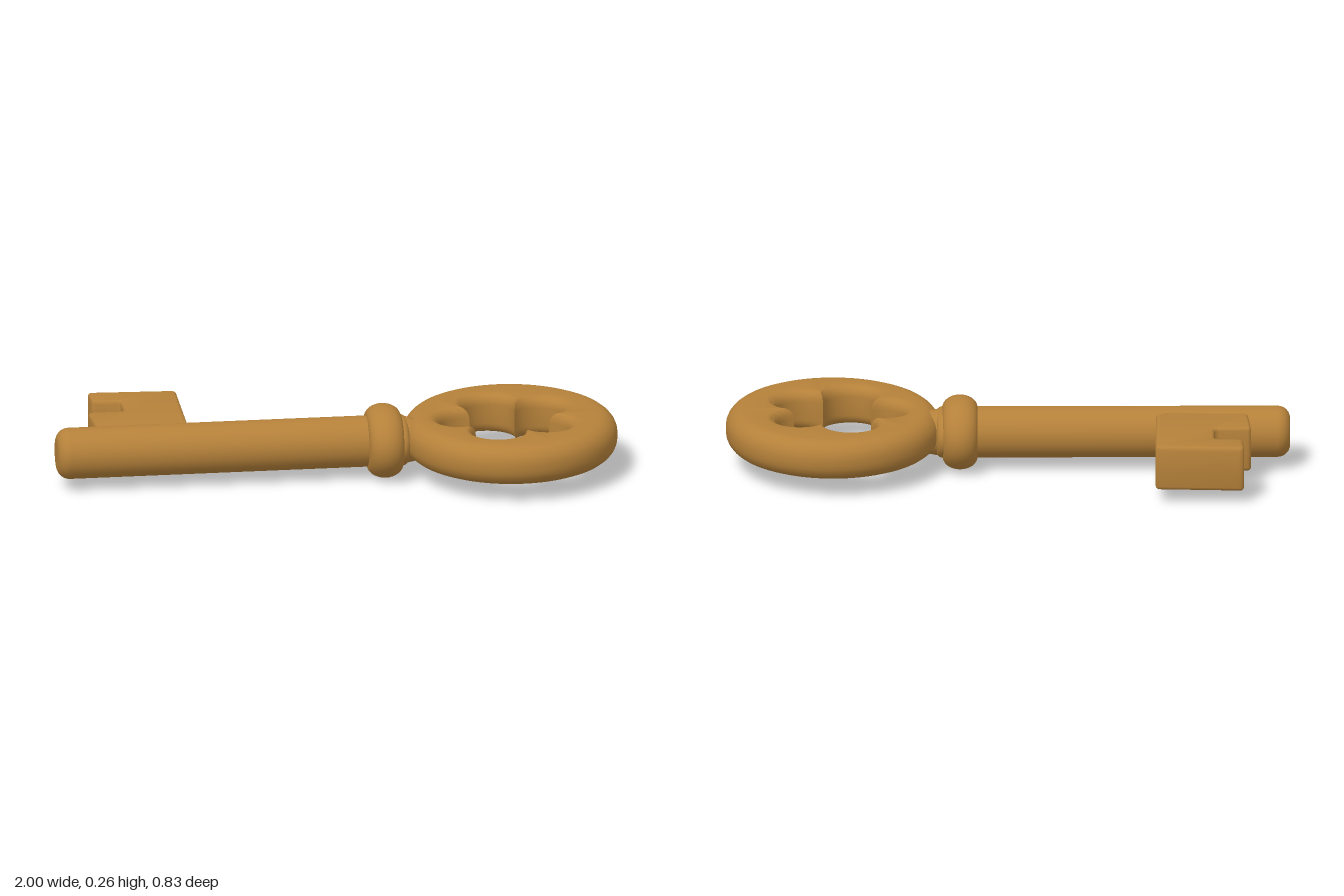
import * as THREE from 'three';
import { toCreasedNormals, mergeVertices } from 'three/addons/utils/BufferGeometryUtils.js';

const AXIS_Y = 0.132, AXIS_Z = 0.005;

// Turned part: [position along x, radius] pairs spun about the x axis
function turned(name, profile, material, scaleY = 1) {
  const pts = profile.map(([x, r]) => new THREE.Vector2(Math.max(r, 0.0001), x));
  const geo = new THREE.LatheGeometry(pts, 48);
  geo.rotateZ(-Math.PI / 2);
  geo.scale(1, scaleY, 1);
  const mesh = new THREE.Mesh(geo, material);
  mesh.name = name;
  mesh.position.set(0, AXIS_Y, AXIS_Z);
  return mesh;
}

// Quarter-round corner as [x, y] pairs between two angles
function arc(cx, cy, rx, ry, from, to, n = 7) {
  return Array.from({ length: n }, (_, i) => {
    const a = from + (to - from) * i / (n - 1);
    return [cx + rx * Math.cos(a), cy + ry * Math.sin(a)];
  });
}

// Distance from the bow's middle to the edge of the five-lobed hole
function holeRadius(theta) {
  const step = Math.PI * 2 / 5, d = 0.15, r = 0.093;
  let phi = theta - Math.PI;
  phi -= Math.round(phi / step) * step;
  return d * Math.cos(phi) + Math.sqrt(r * r - (d * Math.sin(phi)) ** 2);
}

// Rounded ring lofted between a round outline and the five-lobed hole
function bowGeometry() {
  const y0 = 0.068, y1 = 0.215, ob = 0.065, ib = 0.04, h = Math.PI / 2;
  // [inset from edge, height]: up the outside, then down the inside
  const outer = [...arc(ob, y0 + ob, ob, ob, 3 * h, 2 * h), ...arc(ob, y1 - ob, ob, ob, 2 * h, h)];
  const inner = [...arc(ib, y1 - ib, ib, ib, h, 2 * h), ...arc(ib, y0 + ib, ib, ib, 2 * h, 3 * h)];
  const n = 160, m = outer.length + inner.length, pos = [], index = [];
  for (let i = 0; i < n; i++) {
    const t = i / n * Math.PI * 2, c = Math.cos(t), s = Math.sin(t), r = holeRadius(t);
    for (const [o, y] of outer) pos.push(0.62 + (0.38 - o) * c, y, 0.022 + (0.392 - o) * s);
    for (const [o, y] of inner) pos.push(0.607 + (r + o) * c, y, 0.027 + (r + o) * s);
    for (let j = 0; j < m; j++) {
      const a = i * m + j, b = i * m + (j + 1) % m;
      const k = (i + 1) % n, d = k * m + j, e = k * m + (j + 1) % m;
      index.push(a, b, d, b, e, d);
    }
  }
  const geo = new THREE.BufferGeometry();
  geo.setAttribute('position', new THREE.Float32BufferAttribute(pos, 3));
  geo.setIndex(index);
  return toCreasedNormals(geo, 0.6);
}

// Notched plate with softened edges
function bitGeometry() {
  const outline = [
    [-0.85, -0.03], [-0.862, -0.2], [-0.73, -0.2], [-0.73, -0.31],
    [-0.83, -0.315], [-0.835, -0.42], [-0.52, -0.402], [-0.525, -0.03],
  ].map(([x, z]) => new THREE.Vector2(x, -z));
  // Round each corner of the outline slightly
  const shape = new THREE.Shape();
  outline.forEach((p, i) => {
    const prev = outline[(i + outline.length - 1) % outline.length];
    const next = outline[(i + 1) % outline.length];
    const a = p.clone().add(prev.clone().sub(p).setLength(0.02));
    const b = p.clone().add(next.clone().sub(p).setLength(0.02));
    if (i === 0) shape.moveTo(a.x, a.y); else shape.lineTo(a.x, a.y);
    shape.quadraticCurveTo(p.x, p.y, b.x, b.y);
  });
  shape.closePath();
  const bevel = 0.012;
  let geo = new THREE.ExtrudeGeometry(shape, {
    depth: 0.162 - 2 * bevel, bevelEnabled: true, bevelSize: bevel, bevelOffset: -bevel,
    bevelThickness: bevel, bevelSegments: 3, curveSegments: 5,
  });
  geo.rotateX(-Math.PI / 2);
  geo.translate(0, 0.052 + bevel, 0);
  geo.deleteAttribute('uv');
  geo.deleteAttribute('normal');
  geo = mergeVertices(geo, 1e-5);
  return toCreasedNormals(geo, 0.6);
}

export function createModel() {
  const brass = new THREE.MeshStandardMaterial({ color: 0xb5813a });
  brass.name = 'brass';
  const key = new THREE.Group();
  key.name = 'key';
  const h = Math.PI / 2;

  // Shaft with a rounded tip
  key.add(turned('shaft', [
    [-1, 0], ...arc(-0.955, 0.046, 0.045, 0.045, 2 * h, h), [-0.5, 0.091], [0.18, 0.091],
  ], brass));

  // Oval collar and the smaller ring behind it
  key.add(turned('collar', [
    [0.108, 0.08], ...arc(0.17, 0.105, 0.062, 0.053, 2 * h, 0, 17), [0.232, 0.08],
  ], brass, 0.82));
  key.add(turned('collarRing', [
    [0.2, 0.09], ...arc(0.228, 0.098, 0.024, 0.024, 2 * h, 0, 11), [0.252, 0.06],
  ], brass, 0.72));

  // Neck joining the collar to the bow
  key.add(turned('neck', [[0.2, 0.092], [0.25, 0.088], [0.3, 0.078], [0.34, 0.05], [0.345, 0]], brass, 0.93));

  const bow = new THREE.Mesh(bowGeometry(), brass);
  bow.name = 'bow';
  const bit = new THREE.Mesh(bitGeometry(), brass);
  bit.name = 'bit';
  key.add(bow, bit);
  return key;
}
